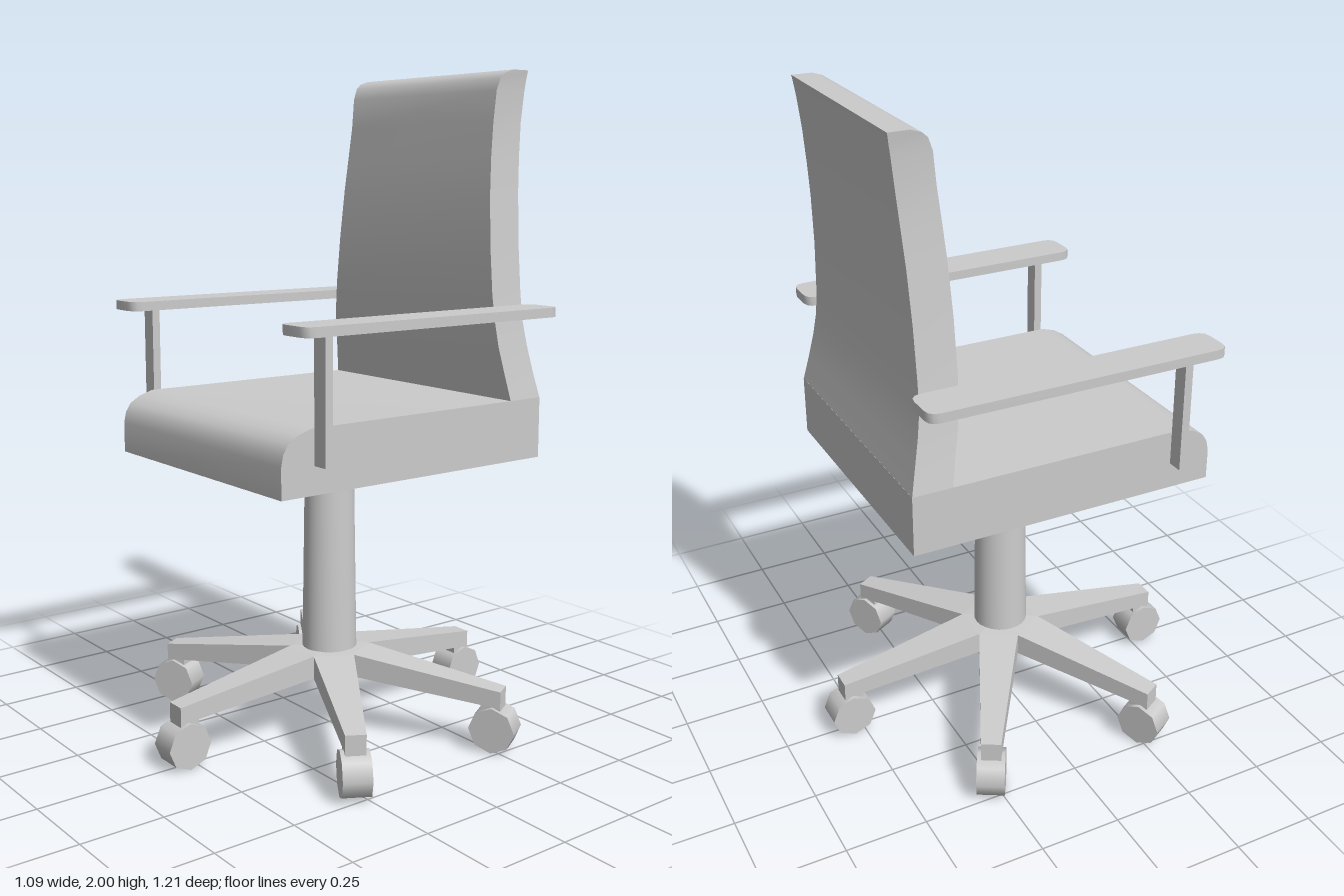
import * as THREE from 'three';
import { toCreasedNormals } from 'three/addons/utils/BufferGeometryUtils.js';

const material = new THREE.MeshStandardMaterial({ color: 0xcccccc });
const flat = new THREE.MeshStandardMaterial({ color: 0xcccccc, flatShading: true });

function add(parent, name, geometry, x = 0, y = 0, z = 0, mat = material) {
  const mesh = new THREE.Mesh(geometry, mat);
  mesh.name = name;
  mesh.position.set(x, y, z);
  parent.add(mesh);
  return mesh;
}

// Seat cushion: side profile (z, y) extruded across the width
function seatGeometry() {
  const profile = [
    [-0.475, 0.86], [0.475, 0.86], [0.475, 0.95], [0.468, 0.983],
    [0.452, 1.008], [0.42, 1.028], [0.375, 1.042], [-0.475, 1.042],
  ].map(([z, y]) => new THREE.Vector2(z, y));
  const g = new THREE.ExtrudeGeometry(new THREE.Shape(profile), { depth: 0.83, bevelEnabled: false });
  g.translate(0, 0, -0.415).rotateY(-Math.PI / 2);
  return toCreasedNormals(g, 0.75);
}

// Backrest: box whose rows follow [height, half width, front z, rear z]
function backGeometry() {
  const rows = [
    [1.04, 0.415, -0.355, -0.475],
    [1.12, 0.401, -0.341, -0.458],
    [1.2, 0.389, -0.326, -0.442],
    [1.27, 0.38, -0.319, -0.432],
    [1.35, 0.37, -0.315, -0.43],
    [1.5, 0.355, -0.317, -0.432],
    [1.65, 0.342, -0.325, -0.439],
    [1.75, 0.334, -0.334, -0.447],
    [1.85, 0.329, -0.345, -0.456],
    [1.94, 0.331, -0.354, -0.466],
    [1.975, 0.333, -0.367, -0.471],
    [1.99, 0.335, -0.384, -0.473],
    [2.0, 0.336, -0.415, -0.475],
  ];
  const n = rows.length - 1;
  const g = new THREE.BoxGeometry(2, n, 2, 1, n, 1);
  const p = g.attributes.position;
  for (let i = 0; i < p.count; i++) {
    const [y, half, front, rear] = rows[Math.round(p.getY(i) + n / 2)];
    p.setXYZ(i, p.getX(i) * half, y, p.getZ(i) > 0 ? front : rear);
  }
  return toCreasedNormals(g, 0.75);
}

// Arm pad: flat slab with rounded corners
function padGeometry() {
  const w = 0.0635, l = 0.457, r = 0.035;
  const s = new THREE.Shape();
  s.moveTo(-w + r, -l);
  s.lineTo(w - r, -l).quadraticCurveTo(w, -l, w, -l + r);
  s.lineTo(w, l - r).quadraticCurveTo(w, l, w - r, l);
  s.lineTo(-w + r, l).quadraticCurveTo(-w, l, -w, l - r);
  s.lineTo(-w, -l + r).quadraticCurveTo(-w, -l, -w + r, -l);
  const g = new THREE.ExtrudeGeometry(s, { depth: 0.028, bevelEnabled: false, curveSegments: 3 });
  return toCreasedNormals(g.rotateX(-Math.PI / 2), 0.75);
}

// One tapered leg, running from the hub centre out along +z
function legGeometry() {
  const section = (yHub, yRoot, yEnd) => ({
    hub: [0, yHub, 0],
    rootL: [-0.062, yRoot, 0.107], rootR: [0.062, yRoot, 0.107],
    endL: [-0.03, yEnd, 0.56], endR: [0.03, yEnd, 0.56],
  });
  const t = section(0.265, 0.255, 0.19), b = section(0.19, 0.185, 0.138);
  const points = [];
  const quad = (a, b1, c, d) => points.push(...a, ...b1, ...c, ...a, ...c, ...d);
  points.push(...t.hub, ...t.rootL, ...t.rootR);
  quad(t.rootL, t.endL, t.endR, t.rootR);
  points.push(...b.hub, ...b.rootR, ...b.rootL);
  quad(b.rootR, b.endR, b.endL, b.rootL);
  quad(t.rootR, t.endR, b.endR, b.rootR);
  quad(t.endL, t.rootL, b.rootL, b.endL);
  quad(t.endL, b.endL, b.endR, t.endR);
  const g = new THREE.BufferGeometry();
  g.setAttribute('position', new THREE.Float32BufferAttribute(points, 3));
  g.computeVertexNormals();
  return g;
}

// Column: round at the foot, narrowing to an oval under the seat
function columnGeometry() {
  const g = new THREE.CylinderGeometry(0.08, 0.085, 0.64, 24);
  const p = g.attributes.position;
  for (let i = 0; i < p.count; i++) if (p.getY(i) > 0) p.setX(i, p.getX(i) * 0.8);
  return toCreasedNormals(g, 0.75);
}

export function createModel() {
  const model = new THREE.Group();
  model.name = 'officeChair';

  add(model, 'seat', seatGeometry());
  add(model, 'backrest', backGeometry());
  add(model, 'column', columnGeometry(), 0, 0.545, 0);

  // Armrests, mirrored left and right
  const pad = padGeometry();
  const post = new THREE.BoxGeometry(0.048, 0.36, 0.025);
  for (const side of [1, -1]) {
    const arm = new THREE.Group();
    arm.name = side > 0 ? 'leftArmrest' : 'rightArmrest';
    add(arm, 'armPad', pad, side * 0.44, 1.292, -0.002);
    add(arm, 'armPost', post, side * 0.439, 1.12, 0.355);
    model.add(arm);
  }

  // Six-legged base with octagonal casters
  const leg = legGeometry();
  const mount = new THREE.BoxGeometry(0.06, 0.085, 0.06);
  const wheel = new THREE.CylinderGeometry(0.07, 0.07, 0.084, 8).rotateZ(Math.PI / 2);
  for (let i = 0; i < 6; i++) {
    const spoke = new THREE.Group();
    spoke.name = `baseLeg${i + 1}`;
    add(spoke, 'leg', leg, 0, 0, 0, flat);
    add(spoke, 'casterMount', mount, 0, 0.143, 0.53);
    add(spoke, 'casterWheel', wheel, 0, 0.07, 0.536);
    spoke.rotation.y = (i * Math.PI) / 3;
    model.add(spoke);
  }
  return model;
}
